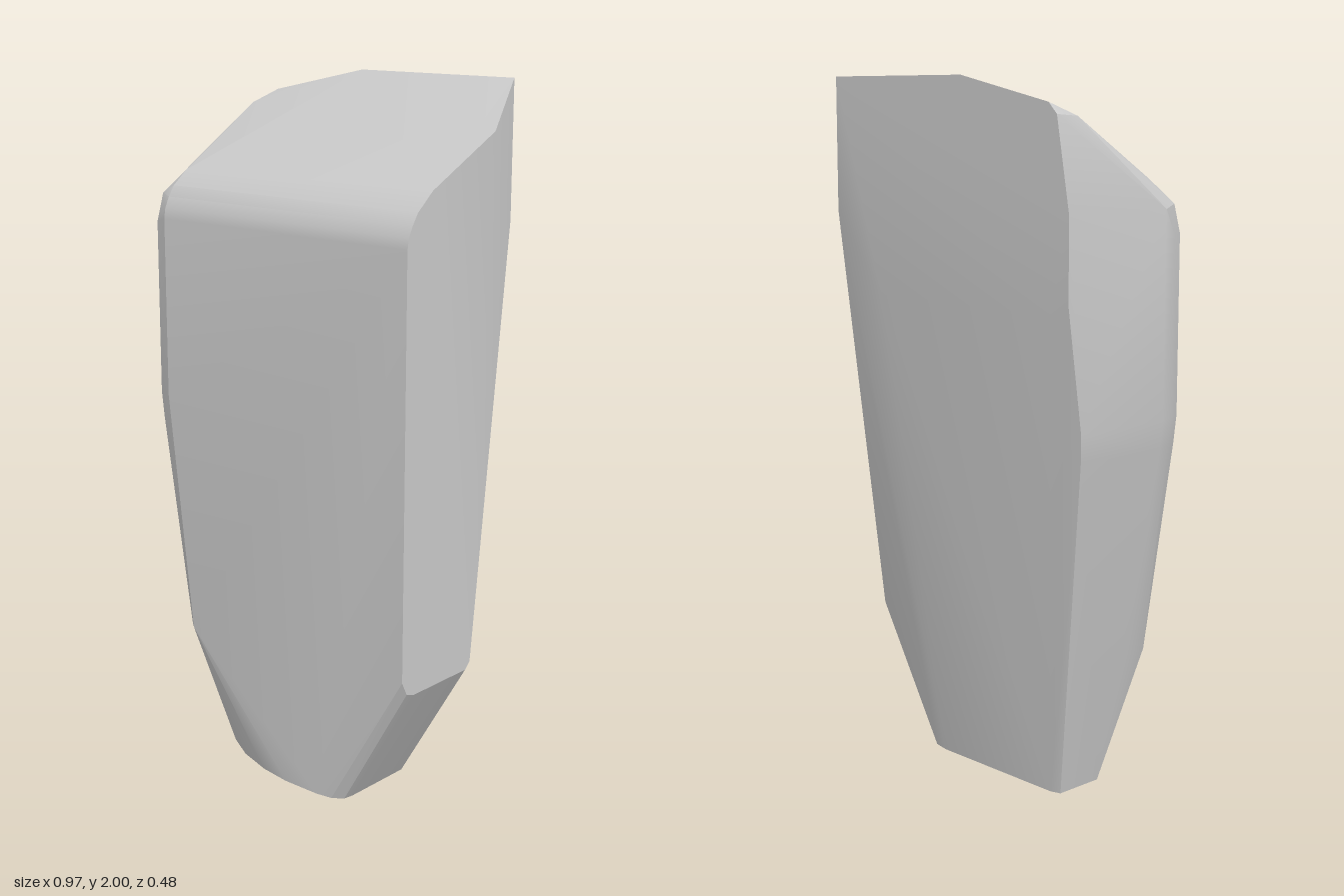
import * as THREE from 'three';
import { ConvexGeometry } from 'three/addons/geometries/ConvexGeometry.js';
import { toCreasedNormals } from 'three/addons/utils/BufferGeometryUtils.js';

export function createModel() {
  const group = new THREE.Group();
  const points = [];
  const add = (...list) => list.forEach((p) => points.push(new THREE.Vector3(...p)));

  // Rounded brow where the front turns into the sloping top: [y, z]
  for (const [y, z] of [[1.6, 0.24], [1.63, 0.235], [1.66, 0.22], [1.69, 0.2], [1.73, 0.15]]) {
    add([0.48, y, z], [-0.405, y - 0.005, z]);
  }

  // Rounded front corner on the curved side: [outer x offset, z]
  const corner = [[0, 0.13], [0.006, 0.17], [0.03, 0.22], [0.08, 0.24]];
  for (const [x, y] of [[-0.485, 1.58], [-0.485, 1.08], [-0.475, 1.0], [-0.36, 0.38]]) {
    const tight = y < 0.5 ? 0.5 : 1;
    for (const [dx, z] of corner) add([x + dx * tight, y, z]);
  }
  add([-0.485, 1.65, 0.13], [-0.455, 1.66, 0.195], [-0.435, 1.70, 0.155]);

  // Sloping top and its two cut corners
  add([0.45, 2, -0.24], [0.48, 1.87, -0.12], [0.48, 1.74, 0.14]);
  add([-0.08, 2, -0.24], [-0.41, 1.93, -0.24], [-0.44, 1.9, -0.24], [-0.435, 1.895, -0.16]);

  // Upright upper back, above the taper
  add([0.45, 1.62, -0.24], [0.26, 1.39, -0.24], [-0.42, 1.39, -0.24]);
  add([-0.485, 1.65, -0.24], [-0.485, 1.42, -0.24], [-0.485, 1.08, -0.19], [-0.475, 1.0, -0.18]);

  // Straight side, down to the slanted foot cut
  add([0.48, 0.43, 0.24], [0.48, 0.39, 0.22], [0.48, 0.38, 0.19], [0.48, 0.38, -0.04], [0.48, 0.4, -0.06]);

  // Outline of the foot: [x, z]
  for (const [x, z] of [
    [0.17, 0.24], [0.22, 0.232], [0.25, 0.21], [0.255, 0.18], [0.255, -0.04], [0.24, -0.06], [0.19, -0.07],
    [-0.26, -0.07], [-0.29, -0.06], [-0.29, 0.09], [-0.25, 0.14], [-0.16, 0.19], [-0.05, 0.225], [0.05, 0.24],
  ]) add([x, 0, z]);

  const geometry = toCreasedNormals(new ConvexGeometry(points), 0.35);
  const body = new THREE.Mesh(geometry, new THREE.MeshStandardMaterial({ color: 0xcccccc }));
  body.name = 'taperedBlock';
  group.add(body);
  return group;
}
